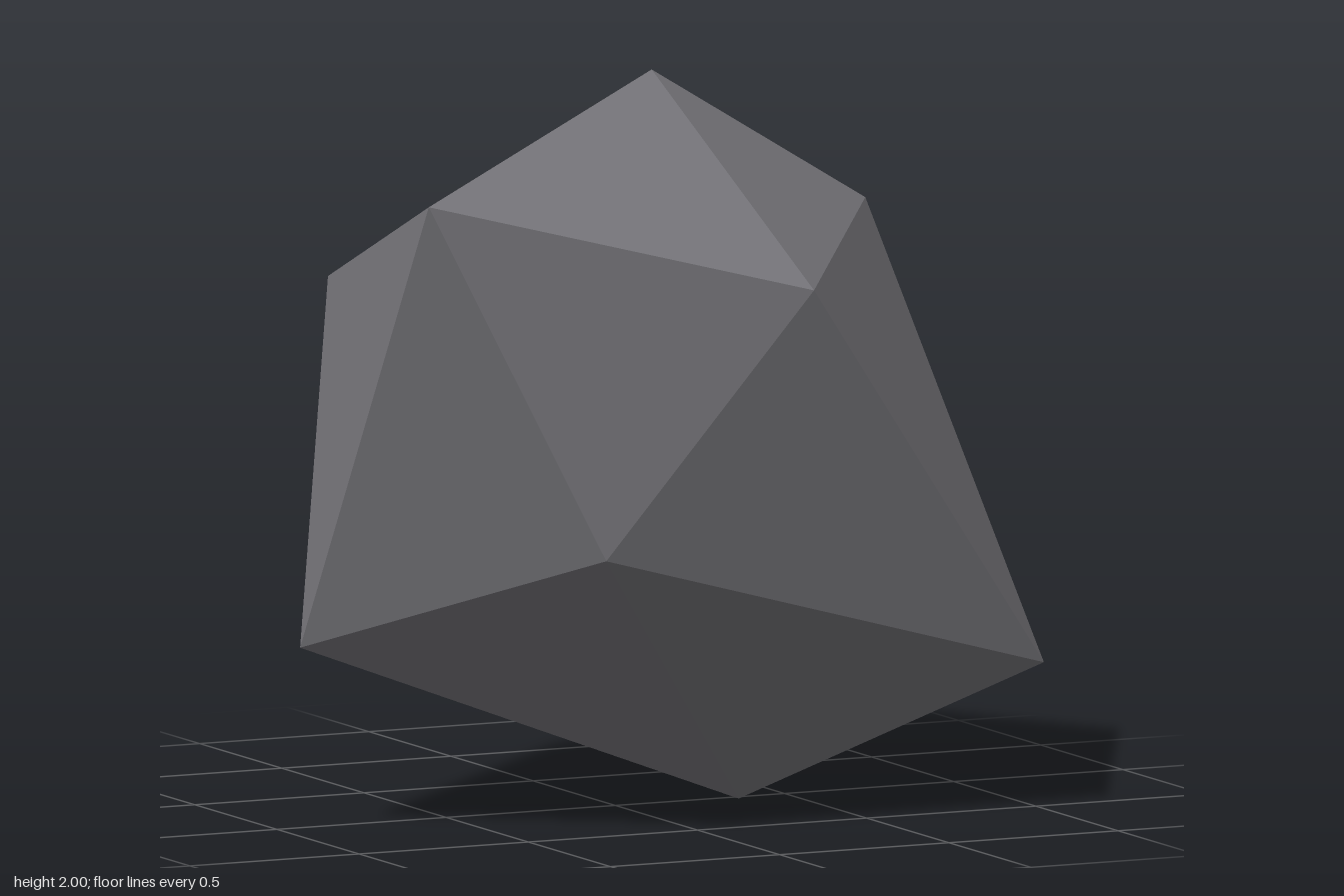
import * as THREE from 'three';

// Corners of the boulder: an irregular twenty-sided solid
const corners = {
  A: [0.02, 2.0, 0.18],    // peak
  B: [-0.93, 1.77, 0.78],  // upper front right
  C: [0.16, 1.49, 0.88],   // upper front
  D: [0.7, 1.6, 0.08],     // upper left
  I: [0.2, 1.65, -0.73],   // upper back
  L: [-0.65, 1.41, -0.41], // upper back right
  E: [-0.42, 0.79, 0.81],  // lower front
  F: [-0.98, 0.5, 0.1],    // lower right
  G: [0.98, 0.4, 0.59],    // lower front left
  J: [0.74, 0.91, -0.55],  // lower back left
  K: [0.05, 0.9, -0.88],   // lower back
  H: [0.35, 0, 0.03],      // foot
};

// Facets, counter-clockwise from outside
const facets = [
  'ABC ACD ADI AIL ALB',     // cap round the peak
  'BEC CEG CGD DGJ DJI',     // belt, front and left
  'JKI LIK LKF BLF BFE',     // belt, back and right
  'EFH EHG GHJ JHK FKH',     // underside round the foot
].join(' ').split(' ');

export function createModel() {
  const stone = new THREE.MeshStandardMaterial({ color: 0x7a797e });
  stone.name = 'stone grey';
  stone.flatShading = true;

  // Separate corners per facet keep every edge sharp
  const points = facets.flatMap((f) => [...f].flatMap((c) => corners[c]));
  const geometry = new THREE.BufferGeometry();
  geometry.setAttribute('position', new THREE.Float32BufferAttribute(points, 3));
  geometry.computeVertexNormals();

  const boulder = new THREE.Mesh(geometry, stone);
  boulder.name = 'boulder';

  const model = new THREE.Group();
  model.name = 'rock';
  model.add(boulder);
  return model;
}
